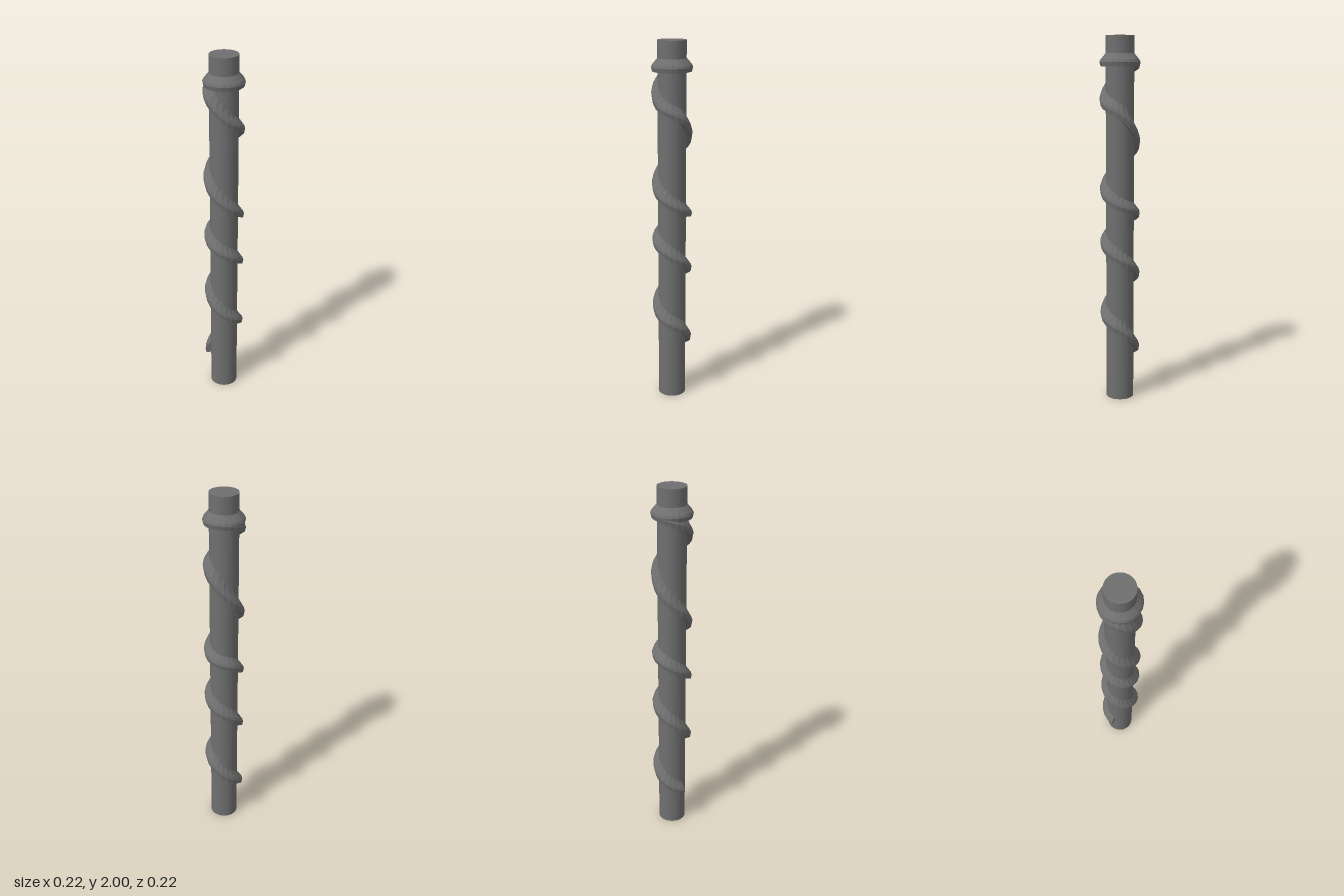
import * as THREE from 'three';

const material = new THREE.MeshStandardMaterial({ color: 0x6f6f6f });
const flatMaterial = new THREE.MeshStandardMaterial({ color: 0x6f6f6f, flatShading: true });

const STEPS = 5; // facets per quarter turn
const START = 0.1; // where the band begins, in quarter turns past -x

// Underside height of the band at each quarter turn, starting at -x and going by -z, +x, +z
const HEIGHTS = [
  0.19, 0.275, 0.39, 0.475,
  0.59, 0.7, 0.79, 0.875,
  0.955, 1.035, 1.085, 1.17,
  1.295, 1.425, 1.57, 1.65,
  1.775, 1.835, 1.84, 1.84, 1.84, 1.84, // closes into a level collar
];

// Band cross-section: radius from the axis and height above the underside, counter-clockwise
const PROFILE = [[0.07, 0], [0.104, 0], [0.109, 0.022], [0.104, 0.035], [0.07, 0.075]];

function spiralGeometry() {
  const curve = new THREE.SplineCurve(HEIGHTS.map((y, i) => new THREE.Vector2(i, y)));
  const turns = HEIGHTS.length - 1;
  const rings = turns * STEPS;
  const n = PROFILE.length;
  const positions = [];
  const index = [];
  for (let i = 0; i <= rings; i++) {
    const q = START + (turns - START) * i / rings;
    const angle = q * Math.PI / 2;
    const base = curve.getPoint(q / turns).y;
    // The steeper the climb, the taller the upright cut through the band
    const tangent = curve.getTangent(q / turns);
    const stretch = Math.hypot(1, tangent.y / tangent.x / (0.09 * Math.PI / 2));
    for (const [r, h] of PROFILE) {
      positions.push(-r * Math.cos(angle), base + h * stretch, -r * Math.sin(angle));
    }
    if (i === rings) break;
    for (let j = 0; j < n; j++) {
      const a = i * n + j;
      const b = i * n + (j + 1) % n;
      index.push(a, b, a + n, b, b + n, a + n);
    }
  }
  // End caps
  const last = rings * n;
  for (let j = 1; j < n - 1; j++) {
    index.push(0, j + 1, j, last, last + j, last + j + 1);
  }
  const geometry = new THREE.BufferGeometry();
  geometry.setAttribute('position', new THREE.Float32BufferAttribute(positions, 3));
  geometry.setIndex(index);
  geometry.computeVertexNormals();
  return geometry;
}

export function createModel() {
  const group = new THREE.Group();
  group.name = 'spiralPole';

  // Plain round shaft
  const shaft = new THREE.Mesh(new THREE.CylinderGeometry(0.076, 0.076, 2, 32), material);
  shaft.name = 'shaft';
  shaft.position.y = 1;
  group.add(shaft);

  // Raised band winding up the shaft and ending in a collar
  const band = new THREE.Mesh(spiralGeometry(), flatMaterial);
  band.name = 'spiralBand';
  group.add(band);

  return group;
}
